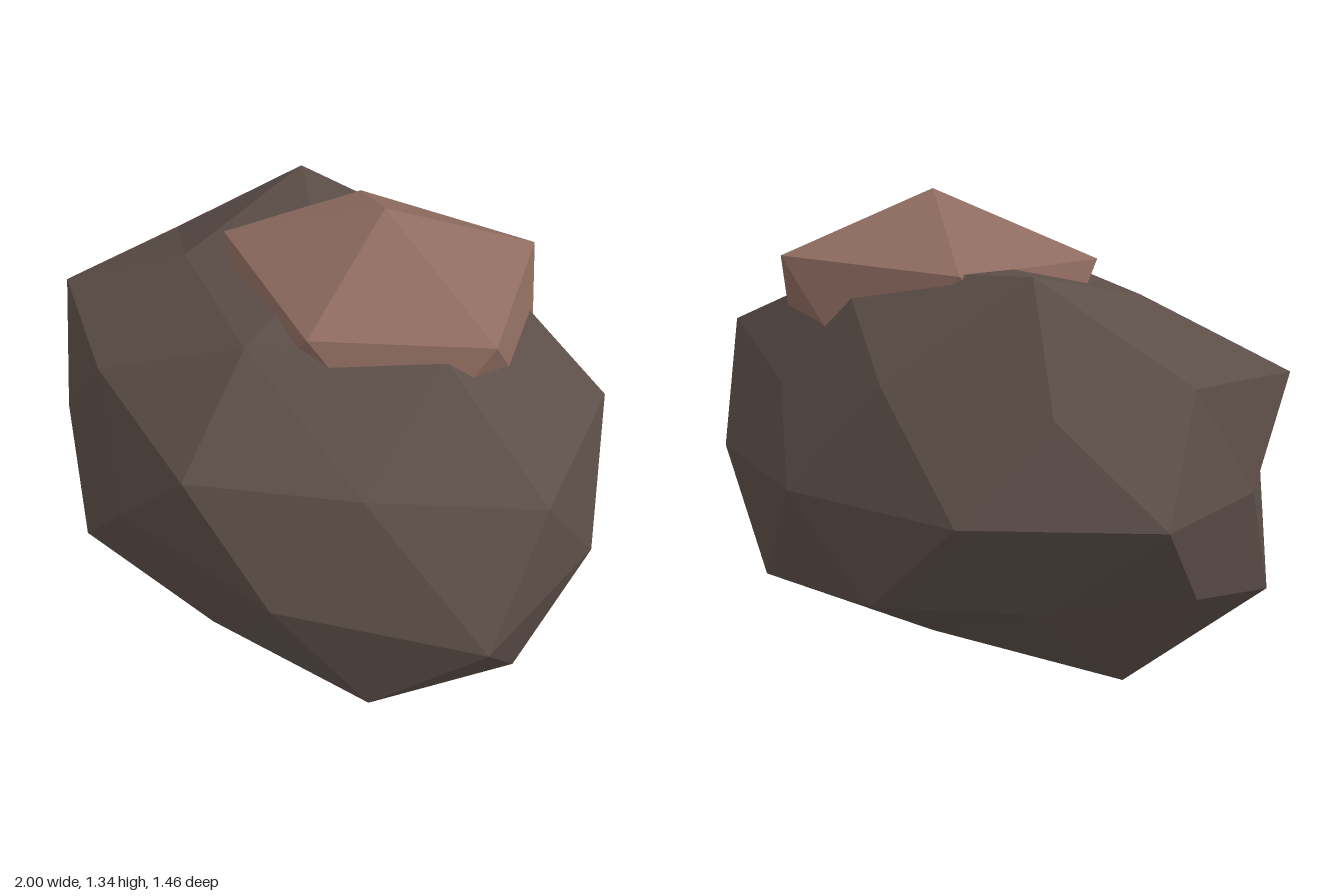
import * as THREE from 'three';

// Unit direction from azimuth (degrees, +x towards +z) and height
function direction(azimuth, y) {
  const a = THREE.MathUtils.degToRad(azimuth), r = Math.sqrt(1 - y * y);
  return new THREE.Vector3(Math.cos(a) * r, y, Math.sin(a) * r);
}

// The 20 faces of an icosahedron standing on a vertex
function icosahedronFaces() {
  const h = 1 / Math.sqrt(5), faces = [];
  const top = new THREE.Vector3(0, 1, 0), bottom = new THREE.Vector3(0, -1, 0);
  const upper = k => direction(72 * k, h), lower = k => direction(72 * k + 36, -h);
  for (let k = 0; k < 5; k++) {
    faces.push(
      [top, upper(k + 1), upper(k)],
      [upper(k), upper(k + 1), lower(k)],
      [lower(k), upper(k + 1), lower(k + 1)],
      [bottom, lower(k), lower(k + 1)]
    );
  }
  return faces;
}

// Split every triangle into four and push the new points onto the sphere
function subdivide(faces) {
  const mid = (p, q) => p.clone().add(q).normalize();
  return faces.flatMap(([a, b, c]) => {
    const ab = mid(a, b), bc = mid(b, c), ca = mid(c, a);
    return [[a, ab, ca], [ab, b, bc], [ca, bc, c], [ab, bc, ca]];
  });
}

// Faceted stone: each ring of points, top to bottom, has its own radial factors
function stone(name, faces, center, scale, rings, material) {
  const position = [];
  for (const d of faces.flat()) {
    const elevation = THREE.MathUtils.radToDeg(Math.asin(THREE.MathUtils.clamp(d.y, -1, 1)));
    const ring = rings[3 - Math.round(elevation / 29.9)];
    const turn = (Math.atan2(d.z, d.x) / (2 * Math.PI) + 1) % 1;
    const f = ring[Math.floor(turn * ring.length + 0.01) % ring.length];
    position.push(...center.map((c, i) => c + d.getComponent(i) * scale[i] * f));
  }
  const geometry = new THREE.BufferGeometry();
  geometry.setAttribute('position', new THREE.Float32BufferAttribute(position, 3));
  geometry.computeVertexNormals();
  const mesh = new THREE.Mesh(geometry, material);
  mesh.name = name;
  return mesh;
}

export function createModel() {
  const darkStone = new THREE.MeshStandardMaterial({ name: 'darkStone', color: 0x5c4e48, flatShading: true });
  const brownStone = new THREE.MeshStandardMaterial({ name: 'brownStone', color: 0x8f6c60, flatShading: true });

  const group = new THREE.Group();
  group.name = 'boulder';

  // Large boulder
  group.add(stone('boulderBody', subdivide(icosahedronFaces()), [-0.05, 0.57, 0], [1, 0.617, 0.78], [
    [0.92],
    [1.015, 1.01, 0.93, 1.125, 1.06],
    [1.074, 0.96, 1.045, 0.985, 1.065, 0.953, 0.95, 0.95, 0.88, 1.073],
    [1.104, 0.985, 0.936, 0.935, 0.883, 1.0, 0.99, 0.942, 0.935, 0.967],
    [1.04, 1.075, 0.95, 1.06, 1.07, 0.935, 0.88, 1.0, 1.01, 0.98],
    [0.9, 1.055, 1.085, 0.875, 0.92],
    [0.89]
  ], darkStone));

  // Small stone sunk into the top
  group.add(stone('topStone', icosahedronFaces(), [0.09, 0.98, -0.105], [0.55, 0.365, 0.44], [
    [1], [],
    [0.976, 1.04, 1.09, 1.01, 1.13], [],
    [1, 1, 1, 1, 1], [],
    [1]
  ], brownStone));

  return group;
}
